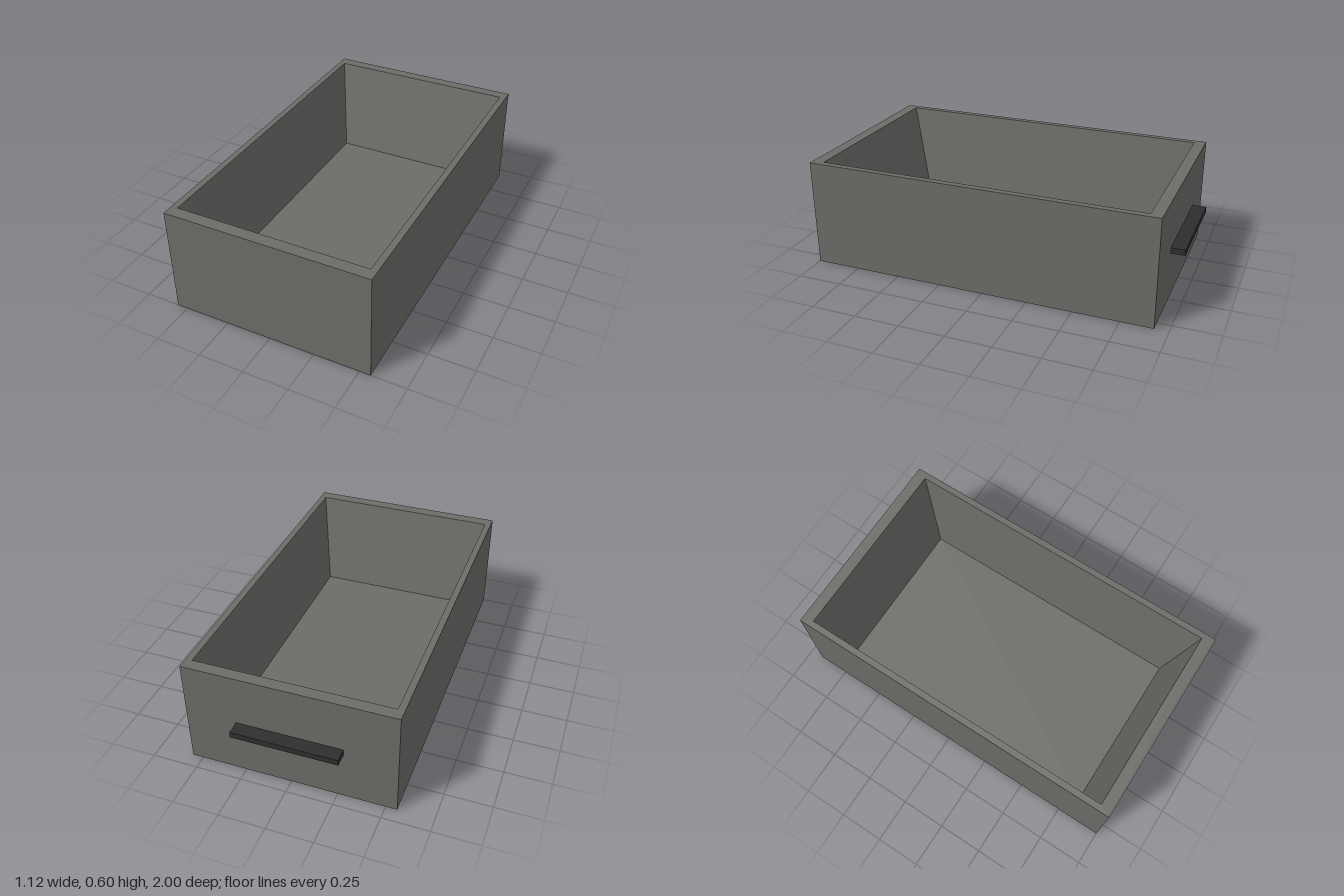
import * as THREE from 'three';

const bodyGrey = new THREE.MeshStandardMaterial({ color: 0x6a6c67 });
bodyGrey.name = 'body grey';
const handleBlack = new THREE.MeshStandardMaterial({ color: 0x2e2e2e });
handleBlack.name = 'handle black';

// Rectangular ring of four corners, counter-clockwise seen from above
const ring = (halfX, y, back, front) => [
  [-halfX, y, front], [halfX, y, front], [halfX, y, back], [-halfX, y, back],
];

// Joins successive rings with flat quads and closes both ends
function loftRings(rings) {
  const pos = [];
  const quad = (a, b, c, d) => pos.push(...a, ...b, ...c, ...a, ...c, ...d);
  for (let r = 0; r < rings.length - 1; r++) {
    for (let i = 0; i < 4; i++) {
      const j = (i + 1) % 4;
      quad(rings[r][i], rings[r][j], rings[r + 1][j], rings[r + 1][i]);
    }
  }
  quad(...[...rings[0]].reverse());
  quad(...rings[rings.length - 1]);
  const geometry = new THREE.BufferGeometry();
  geometry.setAttribute('position', new THREE.Float32BufferAttribute(pos, 3));
  geometry.computeVertexNormals();
  return geometry;
}

export function createModel() {
  const group = new THREE.Group();
  group.name = 'drawer';

  // Open box: straight outside, narrow rim, inside tapering to the floor
  const box = new THREE.Mesh(loftRings([
    ring(0.56, 0, -0.925, 1),
    ring(0.56, 0.595, -0.925, 1),
    ring(0.525, 0.595, -0.862, 0.935),
    ring(0.458, 0.07, -0.75, 0.82),
  ]), bodyGrey);
  box.name = 'drawerBox';
  group.add(box);

  // Bar handle on the back wall
  const handle = new THREE.Mesh(new THREE.BoxGeometry(0.566, 0.032, 0.08), handleBlack);
  handle.name = 'handle';
  handle.position.set(0, 0.298, -0.96);
  group.add(handle);

  return group;
}
